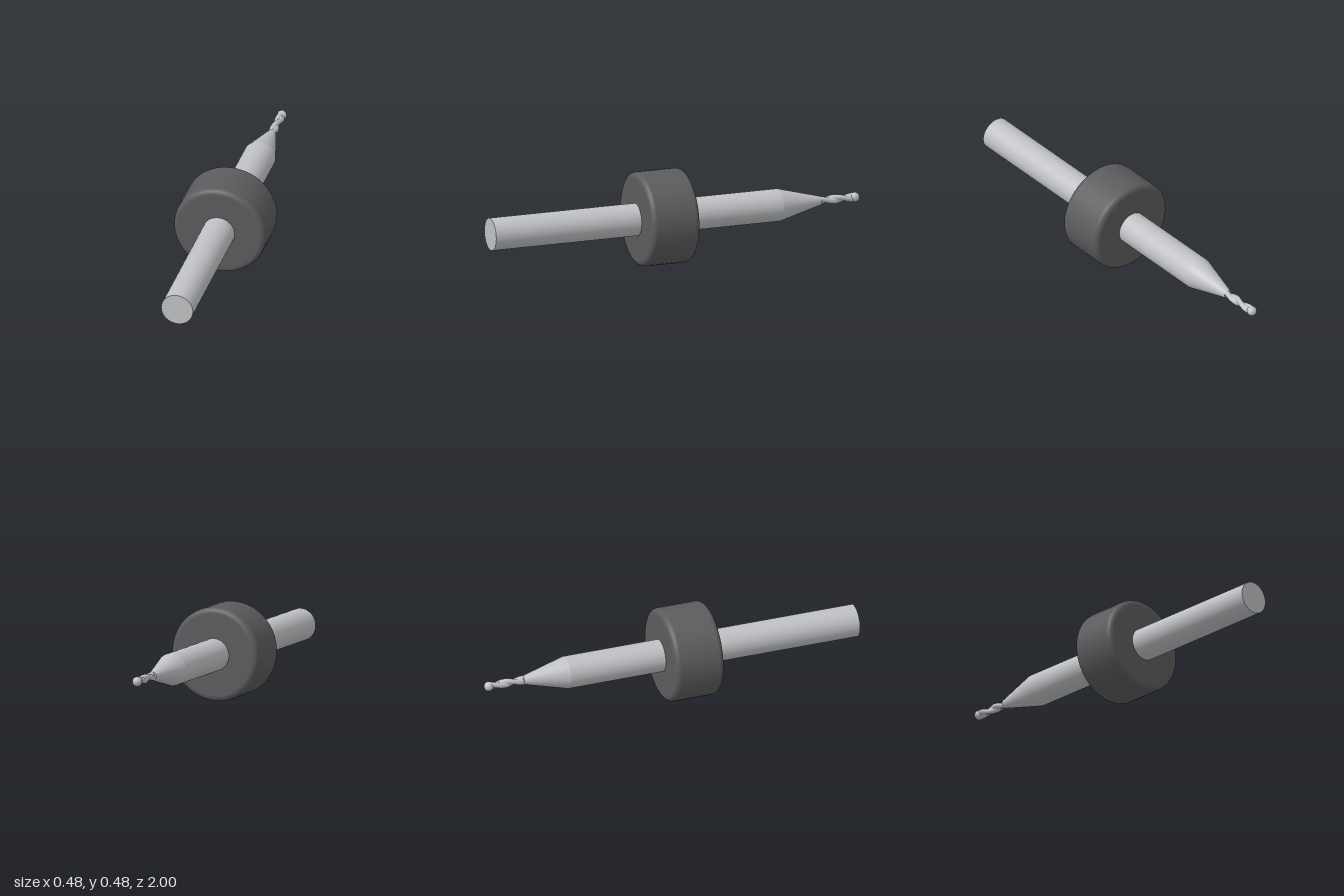
import * as THREE from 'three';

const AXIS_Y = 0.242;

export function createModel() {
  const group = new THREE.Group();
  const steel = new THREE.MeshStandardMaterial({ color: 0xbfc1c4 });
  steel.name = 'steel';
  const rubber = new THREE.MeshStandardMaterial({ color: 0x5c5c5e });
  rubber.name = 'dark collar';

  // Lay a geometry built along y onto the z axis
  const add = (name, geometry, material, z) => {
    geometry.rotateX(Math.PI / 2);
    const mesh = new THREE.Mesh(geometry, material);
    mesh.name = name;
    mesh.position.set(0, AXIS_Y, z);
    group.add(mesh);
  };

  // Straight shank and tapered neck
  add('shank', new THREE.CylinderGeometry(0.083, 0.083, 1.56, 64), steel, 0.22);
  add('taperedNeck', new THREE.CylinderGeometry(0.083, 0.022, 0.23, 64), steel, -0.675);

  // Depth collar with rounded rims
  const R = 0.241, half = 0.13, fillet = 0.028;
  const profile = [new THREE.Vector2(0.08, -half), new THREE.Vector2(R - fillet - 0.005, -half)];
  for (const side of [-1, 1]) {
    for (let i = 0; i <= 6; i++) {
      const a = side * (side < 0 ? 1 - i / 6 : i / 6) * Math.PI / 2;
      profile.push(new THREE.Vector2(
        R - fillet + fillet * Math.cos(a),
        side * (half - fillet) + fillet * Math.sin(a)));
    }
  }
  profile.push(new THREE.Vector2(R - fillet - 0.005, half), new THREE.Vector2(0.08, half));
  add('collar', new THREE.LatheGeometry(profile, 40), rubber, 0.081);

  // Two-flute twisted cutter: lobed section turned along its length
  const flutes = new THREE.CylinderGeometry(1, 1, 0.19, 32, 40);
  const p = flutes.attributes.position;
  for (let i = 0; i < p.count; i++) {
    const x = p.getX(i), y = p.getY(i), z = p.getZ(i);
    const a = Math.atan2(x, z);
    const r = Math.hypot(x, z) * (0.012 + 0.012 * Math.pow(Math.abs(Math.cos(a)), 1.5));
    const t = a + y * Math.PI / 0.1;
    p.setXYZ(i, r * Math.sin(t), y, r * Math.cos(t));
  }
  flutes.computeVertexNormals();
  add('twistedFlutes', flutes, steel, -0.875);

  // Ball nose
  add('ballTip', new THREE.SphereGeometry(0.025, 32, 20), steel, -0.975);

  return group;
}
